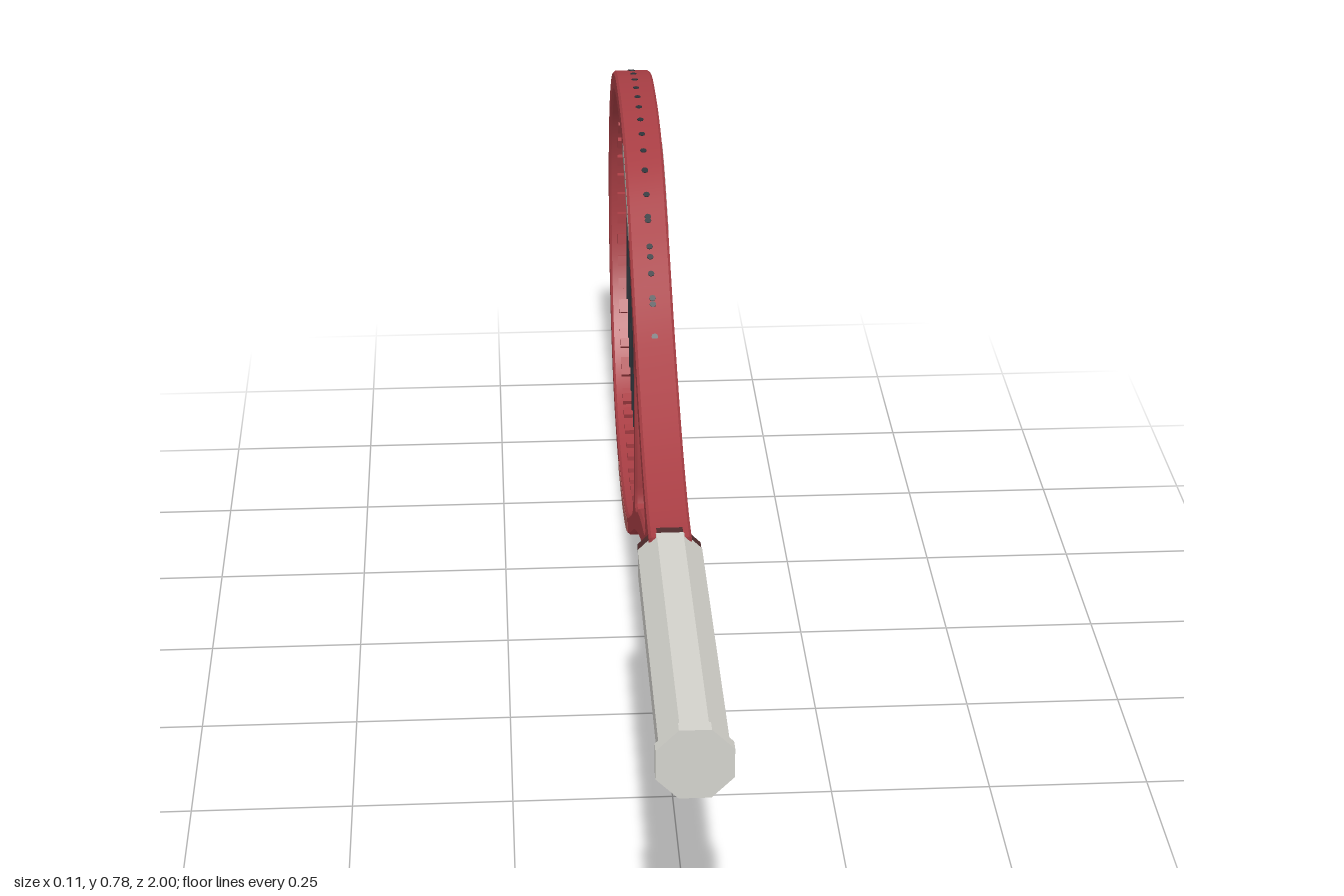
import * as THREE from 'three';
import { mergeGeometries, toCreasedNormals } from 'three/addons/utils/BufferGeometryUtils.js';

const material = (name, color) => Object.assign(new THREE.MeshStandardMaterial({ color }), { name });

// Half outline [u, v], mirrored in v; u runs from the handle towards the tip of the head
const OUTER = [[-0.43, 0.046], [-0.38, 0.047], [-0.3, 0.061], [-0.195, 0.093], [0, 0.18], [0.18, 0.285],
  [0.314, 0.353], [0.448, 0.382], [0.555, 0.386], [0.69, 0.374], [0.823, 0.326], [0.92, 0.243], [0.978, 0.135], [1, 0]];
const HEAD = [[0.026, 0], [0.034, 0.1], [0.065, 0.165], [0.18, 0.245], [0.314, 0.315], [0.448, 0.346],
  [0.555, 0.35], [0.69, 0.338], [0.8, 0.297], [0.885, 0.225], [0.942, 0.125], [0.963, 0]];
const THROAT = [[-0.322, 0], [-0.305, 0.014], [-0.195, 0.05], [-0.09, 0.09], [-0.012, 0.128], [0, 0.122],
  [-0.003, 0.07], [-0.007, 0]];

function outline(half, closed, count) {
  const mirrored = half.filter(p => p[1] !== 0).reverse().map(([u, v]) => [u, -v]);
  const pts = [...half, ...mirrored].map(([u, v]) => new THREE.Vector3(u, v, 0));
  const curve = new THREE.CatmullRomCurve3(pts, closed);
  const out = curve.getSpacedPoints(count).map(p => new THREE.Vector2(p.x, p.y));
  if (closed) out.pop();
  return out.reverse();
}

// Nearest crossing of a ray with a polygon, with the edge normal facing along the ray
function cast(poly, o, d) {
  let best = null;
  poly.forEach((a, i) => {
    const e = poly[(i + 1) % poly.length].clone().sub(a);
    const c = d.cross(e);
    if (Math.abs(c) < 1e-9) return;
    const ao = a.clone().sub(o);
    const t = ao.cross(e) / c, s = ao.cross(d) / c;
    if (t < 1e-4 || s < 0 || s > 1 || (best && t > best.t)) return;
    const normal = new THREE.Vector2(e.y, -e.x).normalize();
    if (normal.dot(d) < 0) normal.negate();
    best = { t, normal, point: o.clone().addScaledVector(d, t) };
  });
  return best;
}

export function createModel() {
  const red = material('frame red', 0xa83e44);
  const grey = material('grip grey', 0xd3d2cc);
  const darkRed = material('collar dark red', 0x502c2d);
  const dark = material('string charcoal', 0x2c3238);
  const midGrey = material('shoulder grey', 0x9a9792);
  const dustyRed = material('faded red', 0xb4625f);

  const model = new THREE.Group();
  const add = (parent, name, geometry, mat) => {
    const mesh = new THREE.Mesh(geometry, mat);
    mesh.name = name;
    parent.add(mesh);
    return mesh;
  };

  // Frame assembly is drawn in u, v and turned so that u points to -z
  const frame = new THREE.Group();
  frame.name = 'frameAssembly';
  frame.rotation.set(0.0104, Math.PI / 2, 0);
  frame.position.y = 0.383;
  model.add(frame);

  const outer = outline(OUTER, false, 130);
  const head = outline(HEAD, true, 110);
  const throat = outline(THROAT, true, 60);

  // Hoop, shafts and bridge in one bevelled extrusion with two openings
  const shape = new THREE.Shape(outer);
  shape.holes.push(new THREE.Path(head), new THREE.Path(throat));
  const body = new THREE.ExtrudeGeometry(shape, {
    depth: 0.058, bevelThickness: 0.004, bevelSize: 0.004, bevelOffset: -0.004, bevelSegments: 1,
  });
  body.translate(0, 0, -0.029);
  add(frame, 'frame', toCreasedNormals(body, 0.45), red);

  // Thin painted panels on both faces of the hoop, above (side 1) or below (side -1)
  function panel(name, side, from, to, mat) {
    const inside = [], outside = [];
    for (let i = 0; i <= 12; i++) {
      const o = new THREE.Vector2(THREE.MathUtils.lerp(from, to, i / 12), 0);
      const d = new THREE.Vector2(0, side);
      const low = cast(head, o, d).point, high = cast(outer, o, d).point;
      inside.push(low.clone().lerp(high, 0.2));
      outside.unshift(low.clone().lerp(high, 0.86));
    }
    const plate = new THREE.ExtrudeGeometry(new THREE.Shape([...inside, ...outside]), { depth: 0.001, bevelEnabled: false });
    for (const z of [-0.0337, 0.0327]) add(frame, name, plate, mat).position.z = z;
  }
  panel('shoulderPanel', 1, 0.2, 0.38, midGrey);
  panel('lowerPanel', -1, 0.28, 0.6, dustyRed);

  // Strings, with a grommet tooth and a plug through the frame at each end
  const strings = [], teeth = [], plugs = [];
  const R = 0.0017, GAP = 0.042, STEP = 0.0462;

  function anchor({ point, normal }) {
    const angle = Math.atan2(normal.y, normal.x);
    teeth.push(new THREE.BoxGeometry(0.018, 0.02, 0.036)
      .rotateZ(angle).translate(point.x, point.y, 0));
    const exits = [outer, throat].map(p => cast(p, point, normal)).filter(Boolean).map(h => h.t);
    const depth = Math.min(...exits);
    if (depth > 0.09) return;
    const mid = point.clone().addScaledVector(normal, depth / 2 + 0.001);
    plugs.push(new THREE.CylinderGeometry(0.0055, 0.0055, depth + 0.001, 8)
      .rotateZ(angle - Math.PI / 2).translate(mid.x, mid.y, 0));
  }

  // One straight string through origin along dir, from hoop to hoop
  function string(origin, dir, z) {
    const [a, b] = [-1, 1].map(s => cast(head, origin, dir.clone().multiplyScalar(s)));
    const mid = a.point.clone().lerp(b.point, 0.5);
    strings.push(new THREE.CylinderGeometry(R, R, a.point.distanceTo(b.point), 6)
      .rotateZ(dir.angle() - Math.PI / 2).translate(mid.x, mid.y, z));
    anchor(a);
    anchor(b);
  }
  for (let i = 0; i < 16; i++) string(new THREE.Vector2(0.5, (i - 7.5) * GAP), new THREE.Vector2(1, 0), 0.0012);
  for (let j = 0; j < 19; j++) string(new THREE.Vector2(0.082 + j * STEP, 0), new THREE.Vector2(0, 1), -0.0012);

  add(frame, 'strings', mergeGeometries(strings), dark);
  add(frame, 'grommetTeeth', mergeGeometries(teeth), red);
  add(frame, 'grommetPlugs', mergeGeometries(plugs), dark);

  // Eight-sided parts along z, given as [flat-to-centre distance, z]
  function octagonal(name, profile, mat) {
    const pts = profile.map(([r, z]) => new THREE.Vector2(r / Math.cos(Math.PI / 8), z));
    const geo = new THREE.LatheGeometry(pts, 8, Math.PI / 8).rotateX(Math.PI / 2);
    add(model, name, toCreasedNormals(geo, 0.1), mat).position.y = 0.3765;
  }
  octagonal('handle', [[0, 0.418], [0.0495, 0.418], [0.0495, 0.972], [0.055, 0.98], [0.055, 1], [0, 1]], grey);
  octagonal('collar', [[0, 0.385], [0.042, 0.385], [0.0485, 0.398], [0.0485, 0.42], [0, 0.42]], darkRed);

  return model;
}
